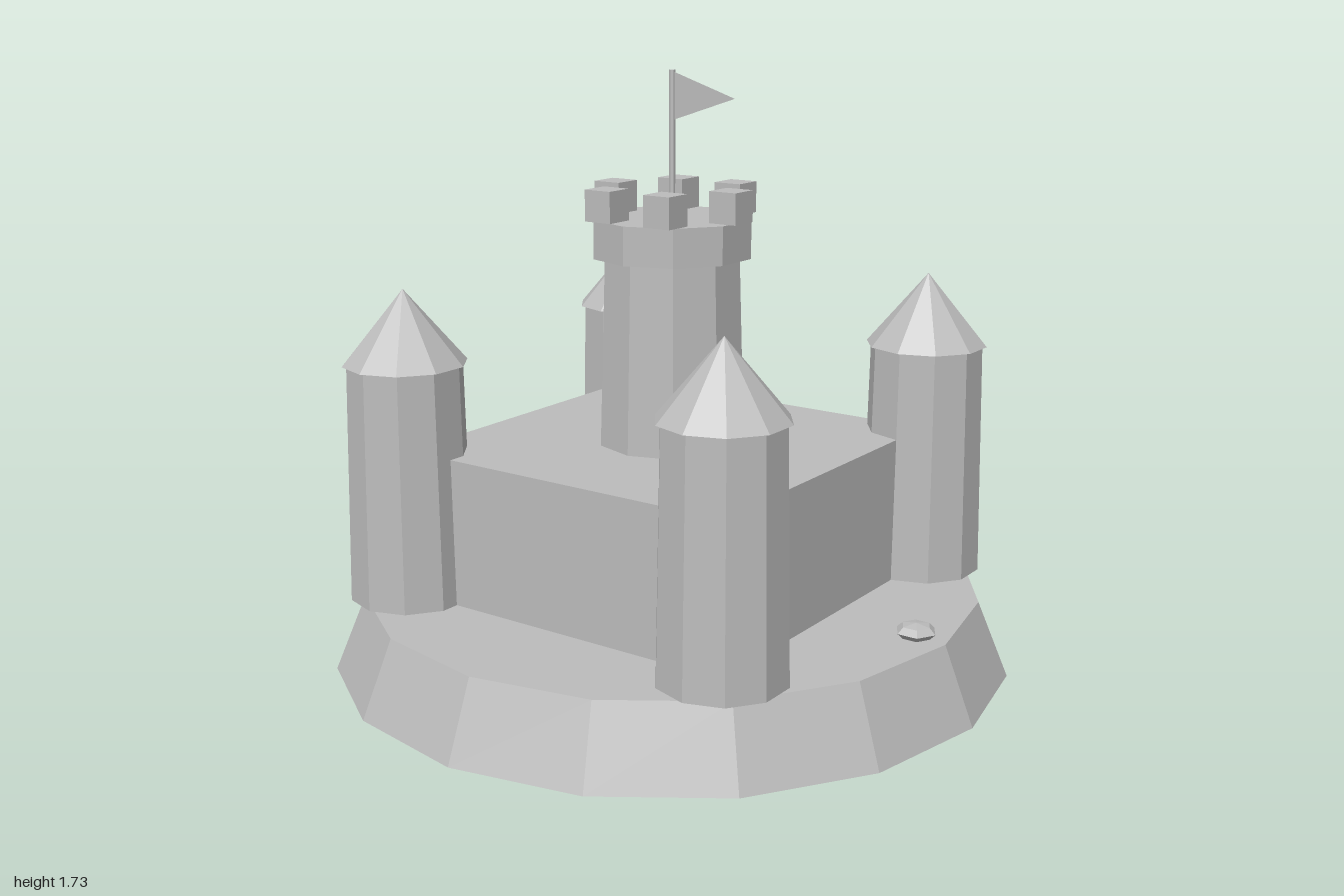
import * as THREE from 'three';

export function createModel() {
  const model = new THREE.Group();
  model.name = 'sandCastle';

  const sand = new THREE.MeshStandardMaterial({ color: 0xbcbcbc, flatShading: true, side: THREE.DoubleSide });
  sand.name = 'plain grey';

  const add = (name, geometry, x = 0, y = 0, z = 0, parent = model) => {
    const mesh = new THREE.Mesh(geometry, sand);
    mesh.name = name;
    mesh.position.set(x, y, z);
    parent.add(mesh);
    return mesh;
  };
  // Faceted tapered drum standing on height y0
  const drum = (name, rTop, rBottom, y0, y1, sides, x = 0, z = 0, parent = model) =>
    add(name, new THREE.CylinderGeometry(rTop, rBottom, y1 - y0, sides), x, (y0 + y1) / 2, z, parent);

  // Mound and square main block
  drum('mound', 0.91, 1, 0, 0.22, 16);
  add('mainBlock', new THREE.BoxGeometry(1.09, 0.433, 1.09), 0, 0.4365, 0);

  // Four corner towers with pointed roofs
  for (const sx of [-1, 1]) {
    for (const sz of [-1, 1]) {
      const tower = new THREE.Group();
      tower.name = 'cornerTower';
      tower.position.set(sx * 0.545, 0, sz * 0.545);
      drum('towerBody', 0.167, 0.18, 0.22, 0.914, 10, 0, 0, tower);
      add('towerRoof', new THREE.ConeGeometry(0.18, 0.214, 10), 0, 1.021, 0, tower);
      model.add(tower);
    }
  }

  // Central keep with crown and six battlements
  drum('keep', 0.202, 0.219, 0.653, 1.203, 10);
  drum('keepCrown', 0.235, 0.235, 1.203, 1.314, 10);
  for (let i = 0; i < 6; i++) {
    const a = (i * Math.PI) / 3;
    add('battlement', new THREE.BoxGeometry(0.088, 0.09, 0.088),
      Math.cos(a) * 0.202, 1.359, Math.sin(a) * 0.202);
  }

  // Flagpole and pennant
  drum('flagpole', 0.009, 0.009, 1.314, 1.73, 6);
  const pennant = new THREE.Shape([
    new THREE.Vector2(0.005, 1.725),
    new THREE.Vector2(0.005, 1.59),
    new THREE.Vector2(0.212, 1.658),
  ]);
  add('flag', new THREE.ShapeGeometry(pennant));

  // Flattened shells scattered around the rim
  for (let i = 0; i < 4; i++) {
    const shell = add('shell', new THREE.SphereGeometry(0.059, 6, 4),
      Math.cos(i) * 0.82, 0.24, -Math.sin(i) * 0.82);
    shell.scale.y = 0.4;
    shell.rotation.y = i;
  }

  return model;
}
